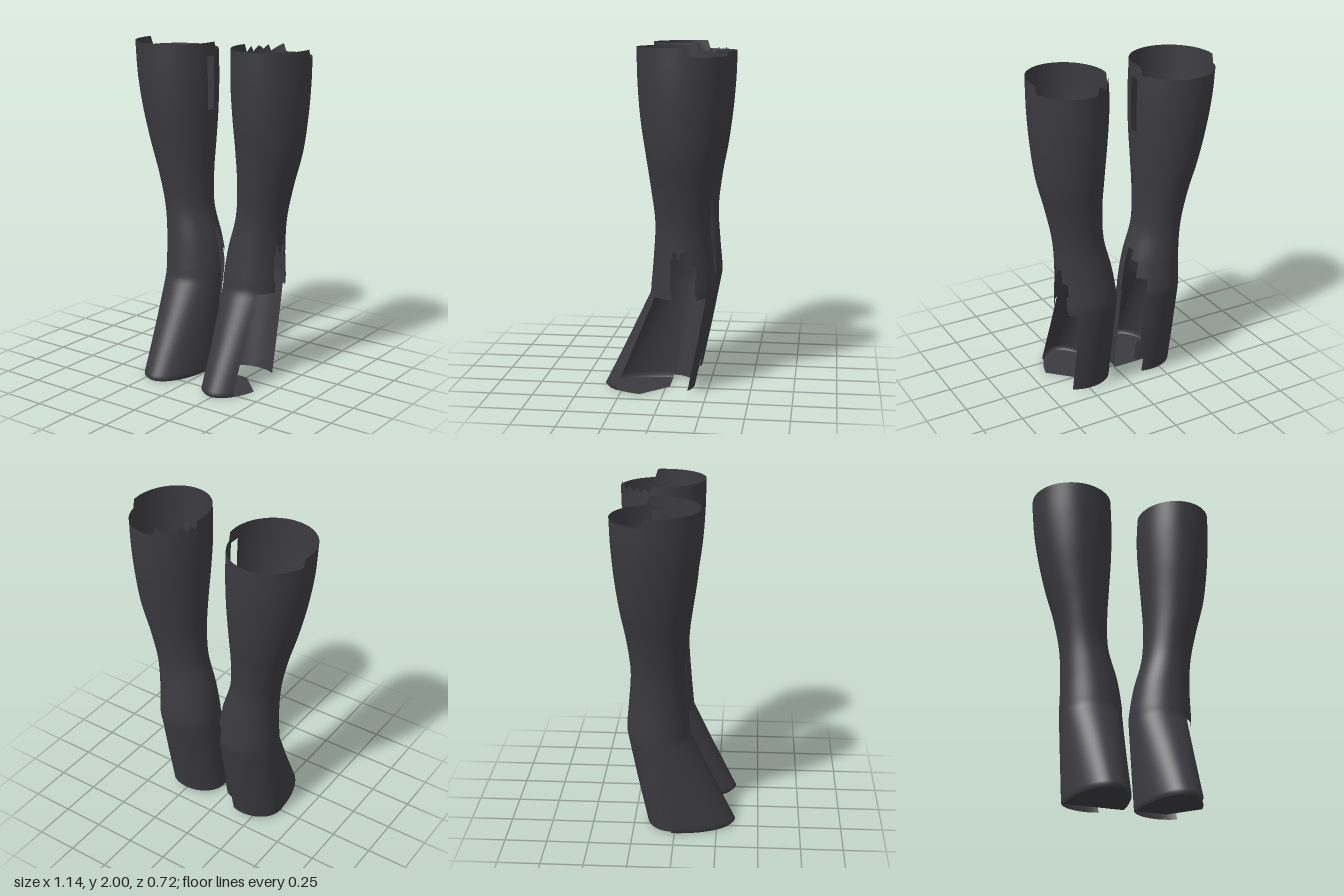
import * as THREE from 'three';

const SEG = 96;

// Cross-sections: height, min x, max x, front z, back z
const RIGHT = [
  [0.015, -0.37, 0, 0.36, -0.17], [0.3, -0.37, 0, 0.22, -0.23], [0.57, -0.37, 0, 0.092, -0.282],
  [0.63, -0.369, -0.002, 0.084, -0.29], [0.8, -0.367, -0.03, 0.068, -0.275], [1.0, -0.38, -0.087, 0.055, -0.26],
  [1.2, -0.42, -0.096, 0.075, -0.28], [1.4, -0.478, -0.087, 0.102, -0.315], [1.6, -0.525, -0.077, 0.13, -0.34],
  [1.8, -0.558, -0.075, 0.145, -0.355], [2.0, -0.572, -0.083, 0.15, -0.36],
];
const LEFT = [
  [0.015, 0.06, 0.43, 0.36, -0.17], [0.3, 0.06, 0.43, 0.22, -0.23], [0.57, 0.06, 0.43, 0.092, -0.282],
  [0.63, 0.062, 0.432, 0.084, -0.29], [0.8, 0.09, 0.428, 0.068, -0.275], [1.0, 0.142, 0.44, 0.055, -0.26],
  [1.2, 0.156, 0.48, 0.075, -0.28], [1.4, 0.147, 0.53, 0.102, -0.315], [1.6, 0.133, 0.555, 0.13, -0.34],
  [1.8, 0.122, 0.568, 0.145, -0.355], [2.0, 0.125, 0.57, 0.15, -0.36],
];

// Smooth cubic interpolation of the sections at height y
function sectionAt(rows, y) {
  let k = 0;
  while (k < rows.length - 2 && rows[k + 1][0] < y) k++;
  const slope = (n, c) => {
    const a = rows[Math.max(0, n - 1)], b = rows[Math.min(rows.length - 1, n + 1)];
    return (b[c] - a[c]) / (b[0] - a[0]);
  };
  const p = rows[k], q = rows[k + 1], h = q[0] - p[0], t = (y - p[0]) / h;
  const at = (c) => {
    if (y <= 0.57) return p[c] + (q[c] - p[c]) * t;
    const t2 = t * t, t3 = t2 * t;
    return (2 * t3 - 3 * t2 + 1) * p[c] + (t3 - 2 * t2 + t) * h * slope(k, c)
      + (3 * t2 - 2 * t3) * q[c] + (t3 - t2) * h * slope(k + 1, c);
  };
  const [x0, x1, front, back] = [1, 2, 3, 4].map(at);
  const cz = y < 0.57 ? THREE.MathUtils.mapLinear(y, 0.015, 0.57, -0.02, -0.105) : -0.105;
  return { cx: (x0 + x1) / 2, rx: (x1 - x0) / 2, cz, front: front - cz, back: cz - back };
}

// Open tube: cells rejected by the isHole rule are left out, the rim follows rimAt
function legGeometry(rows, isHole, rimAt) {
  const heights = [0];
  for (let i = 0; i <= 28; i++) heights.push(0.015 + 0.555 * i / 28);
  for (let i = 1; i <= 72; i++) heights.push(0.57 + 1.43 * i / 72);
  const pos = [], index = [];
  heights.forEach((h, r) => {
    const s = sectionAt(rows, Math.max(h, 0.015)), k = r === 0 ? 0.96 : 1;
    for (let j = 0; j < SEG; j++) {
      const a = j / SEG * Math.PI * 2, c = Math.cos(a), n = Math.sin(a);
      const x = s.cx + s.rx * c * k, z = s.cz + (n > 0 ? s.front : s.back) * n * k;
      pos.push(x, Math.min(h, rimAt(x, z, c)), z);
    }
  });
  for (let r = 0; r < heights.length - 1; r++) {
    const y = (heights[r] + heights[r + 1]) / 2, s = sectionAt(rows, Math.max(y, 0.015));
    for (let j = 0; j < SEG; j++) {
      const a = (j + 0.5) / SEG * 360, deg = a > 180 ? a - 360 : a;
      const n = Math.sin(a * Math.PI / 180);
      const z = s.cz + (n > 0 ? s.front : s.back) * n;
      if ((r === 0 && deg < 0) || isHole(deg, y, z)) continue;
      const p = r * SEG + j, q = r * SEG + (j + 1) % SEG;
      index.push(p, p + SEG, q, q, p + SEG, q + SEG);
    }
  }
  const g = new THREE.BufferGeometry();
  g.setAttribute('position', new THREE.Float32BufferAttribute(pos, 3));
  g.setIndex(index);
  g.computeVertexNormals();
  return g;
}

// Flat front sole: part of a half ellipse, starting at the given angle
function soleGeometry(cx, startDeg, corner) {
  const pts = [];
  for (let i = 0; i <= 32; i++) {
    const a = THREE.MathUtils.degToRad(startDeg + (180 - startDeg) * i / 32);
    pts.push(new THREE.Vector2(cx + 0.178 * Math.cos(a), -(-0.02 + 0.365 * Math.sin(a))));
  }
  if (corner) pts.push(new THREE.Vector2(corner, 0.022));
  return new THREE.ShapeGeometry(new THREE.Shape(pts)).rotateX(-Math.PI / 2);
}

export function createModel() {
  const group = new THREE.Group();
  const cloth = new THREE.MeshStandardMaterial({ color: 0x3b3a3f, side: THREE.DoubleSide });
  cloth.name = 'charcoal';
  const add = (name, geometry) => {
    const mesh = new THREE.Mesh(geometry, cloth);
    mesh.name = name;
    group.add(mesh);
  };

  // Right leg: slit near the rim and a torn opening at the inner back
  add('rightLeg', legGeometry(RIGHT, (deg, y, z) => {
    if (Math.abs(deg) > 90) return false;
    if (y > 1.6 && y < 1.93 && z > -0.13 && z < -0.08) return true;
    if (deg > 0) return false;
    if (y < 0.12) return deg > -66;
    if (y < 0.25) return deg > -48;
    return y < 0.7 ? deg > -55 : y < 0.8 ? deg > -34 : y < 0.86 && deg > -15;
  }, (x, z) => (z < -0.17 ? 1.95 : 2)));

  // Left leg: open outer side below the ankle, stepped tear above it
  add('leftLeg', legGeometry(LEFT, (deg, y, z) => {
    if (Math.abs(deg) > 90) return false;
    if (y < 0.57) return Math.abs(deg) < 52.5;
    const top = z > -0.06 ? 0.8 : z > -0.08 ? 0.84 : z > -0.1 ? 0.81 : z > -0.15 ? 0.85 : 0.76;
    return z < -0.05 && z > -0.19 && y < top;
  }, (x, z, c) => {
    if (z > -0.17) return 2;
    if (c > -0.3) return 1.95;
    return 1.95 + 0.05 * (((-z - 0.17) / 0.045) % 1);
  }));

  // Soles cover only the front half of each foot
  add('rightSole', soleGeometry(-0.185, 0));
  add('leftSole', soleGeometry(0.245, 25, 0.25));
  return group;
}
